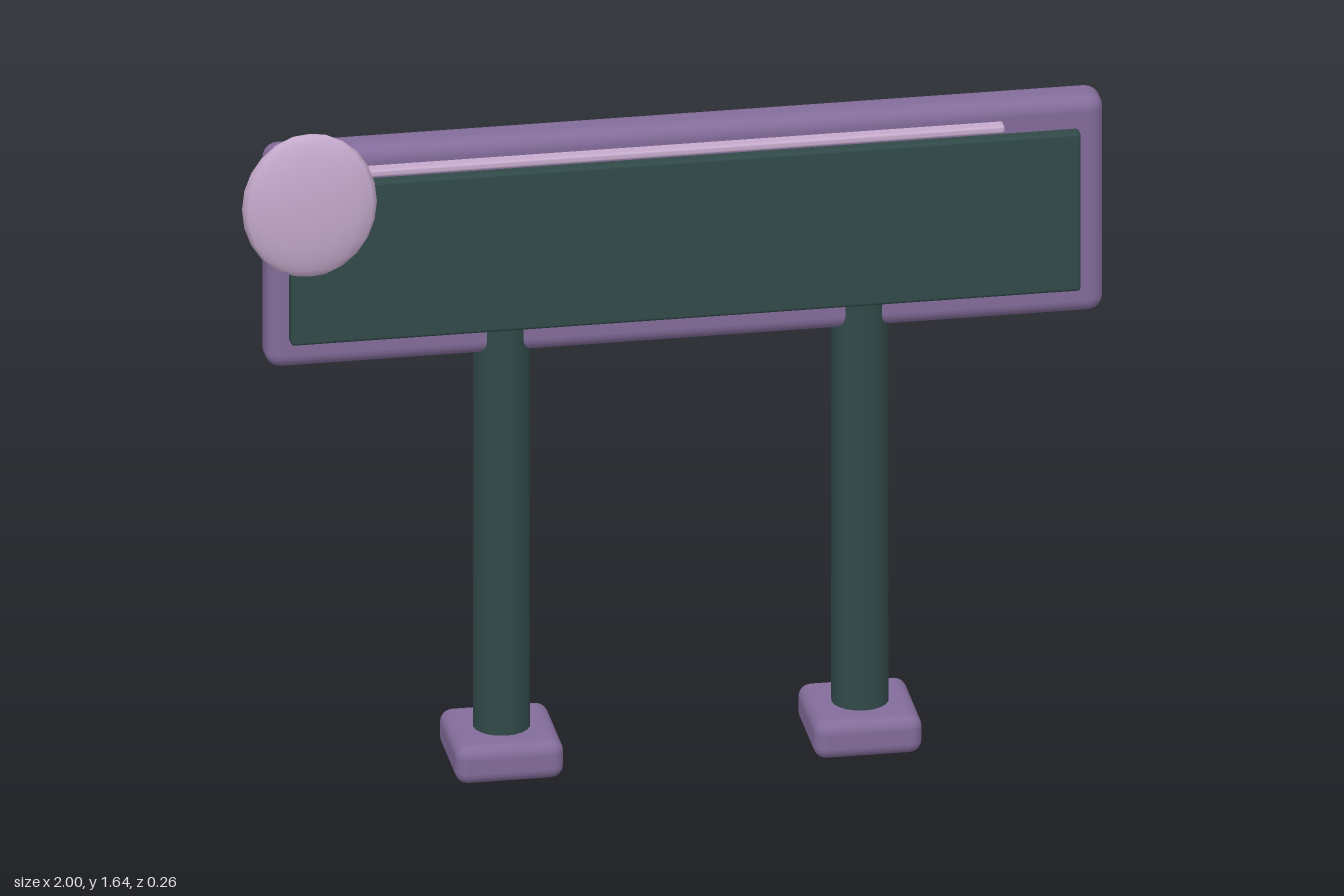
import * as THREE from 'three';
import { RoundedBoxGeometry } from 'three/addons/geometries/RoundedBoxGeometry.js';

export function createModel() {
  const group = new THREE.Group();
  const material = (name, color) => {
    const m = new THREE.MeshStandardMaterial({ color });
    m.name = name;
    return m;
  };
  const purple = material('dusty purple', 0x836c9a);
  const green = material('dark green', 0x304948);
  const lilac = material('pale lilac', 0xc5aacc);

  const add = (name, geometry, mat, x, y, z) => {
    const mesh = new THREE.Mesh(geometry, mat);
    mesh.name = name;
    mesh.position.set(x, y, z);
    group.add(mesh);
    return mesh;
  };

  // Sign board with its inset face panel
  add('signBoard', new RoundedBoxGeometry(1.935, 0.54, 0.1, 3, 0.036), purple, 0.0325, 1.305, 0);
  add('facePanel', new RoundedBoxGeometry(1.825, 0.394, 0.04, 2, 0.008), green, 0.028, 1.303, 0.059);

  // Thin trim strip above the panel
  add('trimStrip', new RoundedBoxGeometry(1.6, 0.018, 0.04, 2, 0.006), lilac, -0.035, 1.522, 0.059);

  // Flattened round emblem on the upper corner
  const emblem = add('cornerEmblem', new THREE.SphereGeometry(1, 16, 12), lilac, -0.844, 1.46, 0.088);
  emblem.scale.set(0.156, 0.178, 0.036);

  // Two posts standing on rounded feet
  for (const x of [-0.385, 0.443]) {
    add('post', new THREE.CylinderGeometry(0.066, 0.066, 1.09, 20), green, x, 0.595, 0);
    add('foot', new RoundedBoxGeometry(0.25, 0.094, 0.256, 3, 0.03), purple, x, 0.047, 0);
  }

  return group;
}
